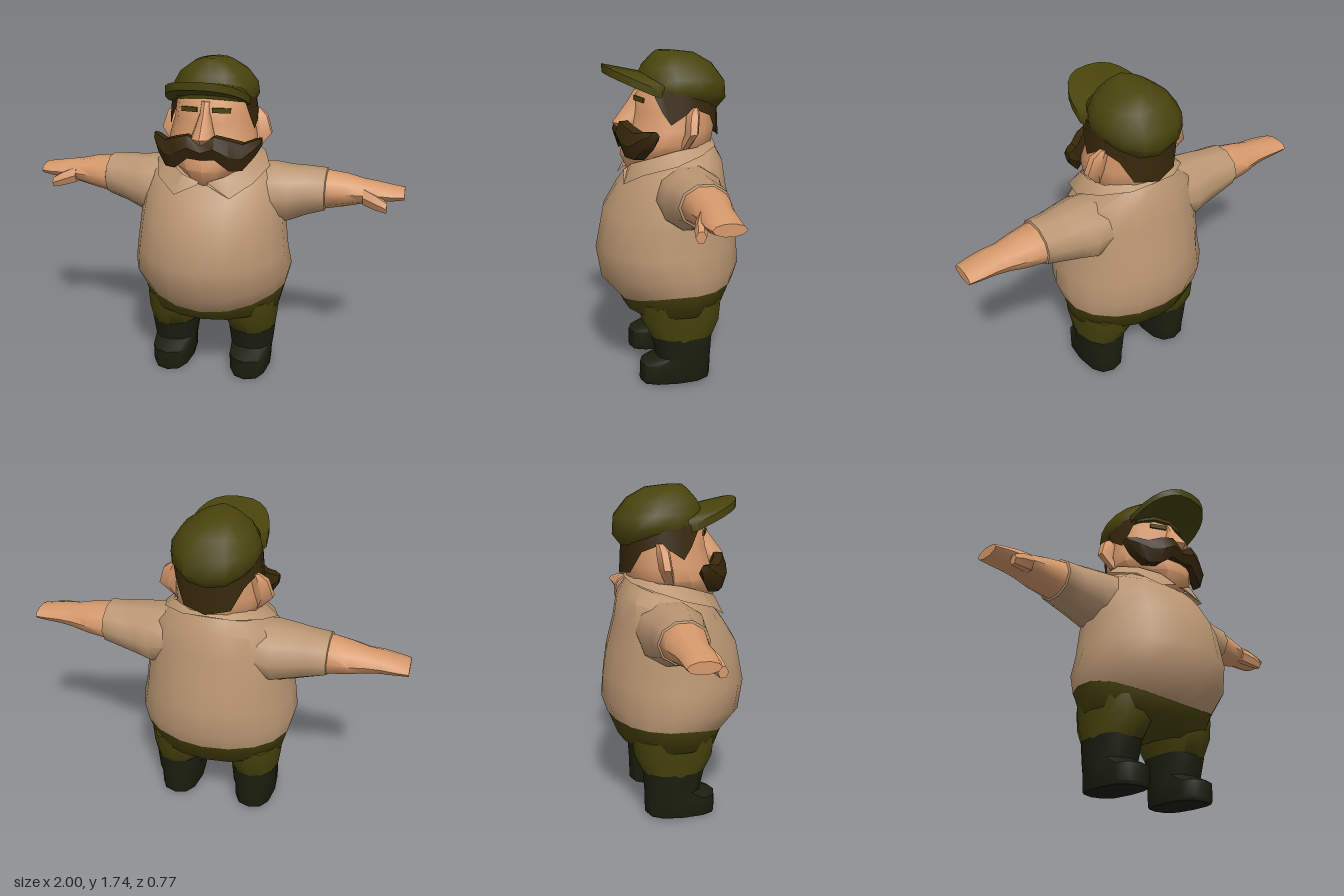
import * as THREE from 'three';
import { toCreasedNormals } from 'three/addons/utils/BufferGeometryUtils.js';

const material = (name, color, side = THREE.FrontSide) => {
  const m = new THREE.MeshStandardMaterial({ color, side });
  m.name = name;
  return m;
};

// Skins closed cross-sections (arrays of [x, y, z]) and caps both ends
function loft(sections, mirror = false, crease = 0.75) {
  if (mirror) sections = sections.map(s => s.map(([x, y, z]) => [-x, y, z]).reverse());
  const n = sections[0].length, pos = sections.flat(2), idx = [];
  for (let i = 0; i < sections.length - 1; i++) {
    for (let j = 0; j < n; j++) {
      const a = i * n + j, b = i * n + (j + 1) % n;
      idx.push(a, b, b + n, a, b + n, a + n);
    }
  }
  [0, sections.length - 1].forEach((s, end) => {
    const c = pos.length / 3;
    for (let k = 0; k < 3; k++) pos.push(sections[s].reduce((t, p) => t + p[k], 0) / n);
    for (let j = 0; j < n; j++) {
      const a = s * n + j, b = s * n + (j + 1) % n;
      end ? idx.push(c, a, b) : idx.push(c, b, a);
    }
  });
  return finish(pos, idx, crease);
}

// Skins an open strip between an upper and a lower edge
function strip(columns, mirror = false) {
  if (mirror) columns = columns.map(c => c.map(([x, y, z]) => [-x, y, z])).reverse();
  const idx = [];
  for (let i = 0; i < columns.length - 1; i++) {
    const a = i * 2;
    idx.push(a, a + 1, a + 3, a, a + 3, a + 2);
  }
  return finish(columns.flat(2), idx, 0.75);
}

function finish(pos, idx, crease) {
  const g = new THREE.BufferGeometry();
  g.setAttribute('position', new THREE.Float32BufferAttribute(pos, 3));
  g.setIndex(idx);
  return toCreasedNormals(g, crease);
}

// Bends a sine or cosine towards a squarer outline
const soft = (v, power) => Math.sign(v) * Math.abs(v) ** power;

// Level ring: heights at front, side and back, half width, front z, back z, centre x
function ring([yF, yS, yB, hx, zf, zb, cx = 0], n, power = 1) {
  const zm = (zf + zb) / 2, hz = (zf - zb) / 2;
  return Array.from({ length: n }, (_, j) => {
    const t = j / n * Math.PI * 2, s = Math.sin(t), c = Math.cos(t);
    return [cx + hx * soft(s, power), yS + ((c > 0 ? yF : yB) - yS) * c * c, zm + hz * soft(c, power)];
  });
}

// Upright ring across x: position, centre y and z, half height, half depth
function armRing([x, y, z, ry, rz], n = 10) {
  return Array.from({ length: n }, (_, j) => {
    const t = (j + 0.5) / n * Math.PI * 2;
    return [x, y + ry * Math.cos(t), z + rz * Math.sin(t)];
  });
}

export function createModel() {
  const model = new THREE.Group();
  model.name = 'capped man';
  const skin = material('skin', 0xd6996c);
  const shirt = material('tan shirt', 0xba9672, THREE.DoubleSide);
  const olive = material('olive cloth', 0x48430c);
  const boots = material('dark boots', 0x1c1f10);
  const hair = material('brown hair', 0x37270a, THREE.DoubleSide);
  const add = (name, geometry, mat) => {
    const mesh = new THREE.Mesh(geometry, mat);
    mesh.name = name;
    model.add(mesh);
    return mesh;
  };
  const rings = (list, n, power) => list.map(r => ring(r, n, power));

  // Shirt body with a hem that dips under the belly
  add('shirtBody', loft(rings([
    [0.43, 0.53, 0.53, 0.41, 0.27, -0.355],
    [0.53, 0.62, 0.62, 0.432, 0.36, -0.385],
    [0.70, 0.73, 0.75, 0.413, 0.388, -0.375],
    [0.92, 0.88, 0.88, 0.395, 0.345, -0.355],
    [1.04, 1.01, 1.05, 0.38, 0.27, -0.31],
    [1.10, 1.14, 1.18, 0.335, 0.22, -0.29],
    [1.13, 1.20, 1.26, 0.24, 0.19, -0.245],
  ], 18)), shirt);

  // Hips
  add('hips', loft(rings([
    [0.33, 0.33, 0.35, 0.22, 0.14, -0.22],
    [0.375, 0.40, 0.40, 0.375, 0.24, -0.30],
    [0.435, 0.535, 0.535, 0.409, 0.269, -0.354],
  ], 18), false, 1.1), olive);

  // Head and neck
  add('head', loft(rings([
    [1.06, 1.08, 1.10, 0.13, 0.15, -0.16],
    [1.12, 1.15, 1.20, 0.13, 0.21, -0.20],
    [1.20, 1.20, 1.23, 0.19, 0.25, -0.22],
    [1.27, 1.27, 1.28, 0.235, 0.235, -0.24],
    [1.34, 1.34, 1.34, 0.23, 0.205, -0.25],
    [1.43, 1.43, 1.43, 0.207, 0.18, -0.255],
    [1.52, 1.52, 1.52, 0.195, 0.17, -0.255],
    [1.58, 1.58, 1.58, 0.17, 0.12, -0.23],
  ], 14)), skin);
  add('nose', loft(rings([
    [1.32, 1.32, 1.32, 0.04, 0.24, 0.12],
    [1.37, 1.37, 1.37, 0.062, 0.287, 0.12],
    [1.42, 1.42, 1.42, 0.045, 0.25, 0.12],
    [1.48, 1.48, 1.48, 0.028, 0.205, 0.12],
    [1.54, 1.54, 1.54, 0.025, 0.17, 0.11],
  ], 8)), skin);

  // Moustache sweeping up at both tips
  const half = [
    [0, 1.305, 0.232, 0.05, 0.04], [0.07, 1.328, 0.235, 0.068, 0.045],
    [0.14, 1.29, 0.215, 0.09, 0.05], [0.20, 1.275, 0.175, 0.078, 0.055],
    [0.25, 1.312, 0.135, 0.052, 0.05], [0.28, 1.338, 0.11, 0.024, 0.025],
  ];
  const whole = [...half.slice(1).reverse().map(([x, ...r]) => [-x, ...r]), ...half];
  add('moustache', loft(whole.map(r => armRing(r, 6)), false, 0.6), hair);

  // Hair below the cap: angle from the front, lower edge height
  const fringe = [[58, 1.52], [68, 1.44], [78, 1.38], [92, 1.42], [106, 1.46],
    [130, 1.42], [148, 1.31], [180, 1.29]];
  const around = [...fringe, ...fringe.slice(0, -1).reverse().map(([a, y]) => [360 - a, y])];
  add('hair', strip(around.map(([deg, low]) => {
    const s = Math.sin(deg * Math.PI / 180), c = Math.cos(deg * Math.PI / 180);
    const at = (y, r) => [s * r, y, -0.035 + c * (r + 0.015)];
    return [at(1.55, 0.214), at(low, 0.228)];
  })), hair);

  // Cap crown
  add('capCrown', loft(rings([
    [1.555, 1.515, 1.43, 0.212, 0.16, -0.265],
    [1.58, 1.54, 1.49, 0.224, 0.165, -0.312],
    [1.62, 1.60, 1.58, 0.216, 0.155, -0.306],
    [1.66, 1.66, 1.67, 0.178, 0.135, -0.237],
    [1.715, 1.715, 1.725, 0.10, 0.085, -0.14],
    [1.738, 1.737, 1.737, 0.03, 0.055, -0.03],
  ], 14, 0.92), false, 0.9), olive);

  // Arched cap brim
  const brim = [];
  for (let i = 0; i <= 12; i++) {
    const a = (i / 12 - 0.5) * Math.PI * 0.97, s = soft(Math.sin(a), 0.8), c = soft(Math.cos(a), 0.8);
    const inY = 1.53 + 0.065 * c, outY = 1.53 + 0.12 * c;
    const inner = [0.19 * s, 0.03 + 0.11 * c], outer = [0.213 * s, 0.06 + 0.277 * c];
    brim.push([
      [inner[0], inY + 0.035, inner[1]], [outer[0], outY + 0.02, outer[1]],
      [outer[0], outY - 0.02, outer[1]], [inner[0], inY - 0.03, inner[1]],
    ]);
  }
  add('capBrim', loft(brim), olive);

  for (const side of [1, -1]) {
    const m = side < 0, label = m ? 'right' : 'left';

    // Sleeve, forearm with flat hand, and thumb
    add(label + 'Sleeve', loft([
      [0.18, 1.04, -0.07, 0.14, 0.17], [0.32, 1.025, -0.065, 0.165, 0.18],
      [0.41, 1.03, -0.062, 0.15, 0.158], [0.50, 1.045, -0.075, 0.13, 0.142],
      [0.595, 1.057, -0.078, 0.112, 0.13], [0.6, 1.057, -0.078, 0.1, 0.118],
    ].map(r => armRing(r)), m), shirt);
    add(label + 'Arm', loft([
      [0.58, 1.057, -0.078, 0.104, 0.122], [0.70, 1.06, -0.085, 0.086, 0.105],
      [0.79, 1.06, -0.085, 0.064, 0.087], [0.86, 1.063, -0.083, 0.052, 0.088],
      [0.94, 1.06, -0.086, 0.04, 0.085], [0.998, 1.06, -0.093, 0.03, 0.078],
    ].map(r => armRing(r)), m), skin);
    add(label + 'Thumb', loft([
      [0.79, 1.05, -0.03, 0.048, 0.042], [0.86, 1.028, 0, 0.043, 0.033],
      [0.915, 1.008, 0.014, 0.03, 0.025],
    ].map(r => armRing(r, 6)), m), skin);

    // Trouser leg and boot
    add(label + 'Leg', loft(rings([
      [0.255, 0.255, 0.255, 0.128, 0.123, -0.204, 0.223],
      [0.35, 0.35, 0.35, 0.15, 0.175, -0.25, 0.213],
      [0.45, 0.45, 0.45, 0.165, 0.185, -0.26, 0.205],
    ], 12, 0.85), m, 1.1), olive);
    add(label + 'Boot', loft(rings([
      [0, 0.01, 0.015, 0.105, 0.18, -0.19, 0.222],
      [0.02, 0.02, 0.025, 0.11, 0.187, -0.197, 0.222],
      [0.11, 0.11, 0.11, 0.113, 0.185, -0.2, 0.222],
      [0.15, 0.15, 0.15, 0.117, 0.10, -0.2, 0.222],
      [0.265, 0.265, 0.265, 0.13, 0.125, -0.207, 0.222],
    ], 12, 0.8), m), boots);

    // Ear
    add(label + 'Ear', loft(rings([
      [1.26, 1.26, 1.26, 0.02, -0.03, -0.08, 0.215],
      [1.34, 1.34, 1.34, 0.06, -0.05, -0.12, 0.245],
      [1.43, 1.43, 1.43, 0.05, -0.06, -0.13, 0.225],
      [1.465, 1.465, 1.465, 0.02, -0.09, -0.125, 0.21],
    ], 6), m), skin);

    // Eyebrow
    const brow = add(label + 'Eyebrow', new THREE.BoxGeometry(0.095, 0.024, 0.009), olive);
    brow.position.set(side * 0.083, 1.498, 0.158);
    brow.rotation.set(0, side * 0.38, side * -0.06);

    // Pointed shirt collar: upper edge, lower edge
    add(label + 'Collar', strip([
      [[0.02, 1.135, 0.21], [0.03, 1.125, 0.235]],
      [[0.11, 1.17, 0.205], [0.145, 1.07, 0.25]],
      [[0.20, 1.21, 0.12], [0.25, 1.135, 0.165]],
      [[0.235, 1.25, 0], [0.305, 1.185, 0]],
      [[0.215, 1.265, -0.12], [0.255, 1.23, -0.14]],
      [[0.12, 1.285, -0.19], [0.13, 1.255, -0.235]],
      [[0, 1.29, -0.21], [0, 1.265, -0.25]],
    ], m), shirt);
  }
  return model;
}
